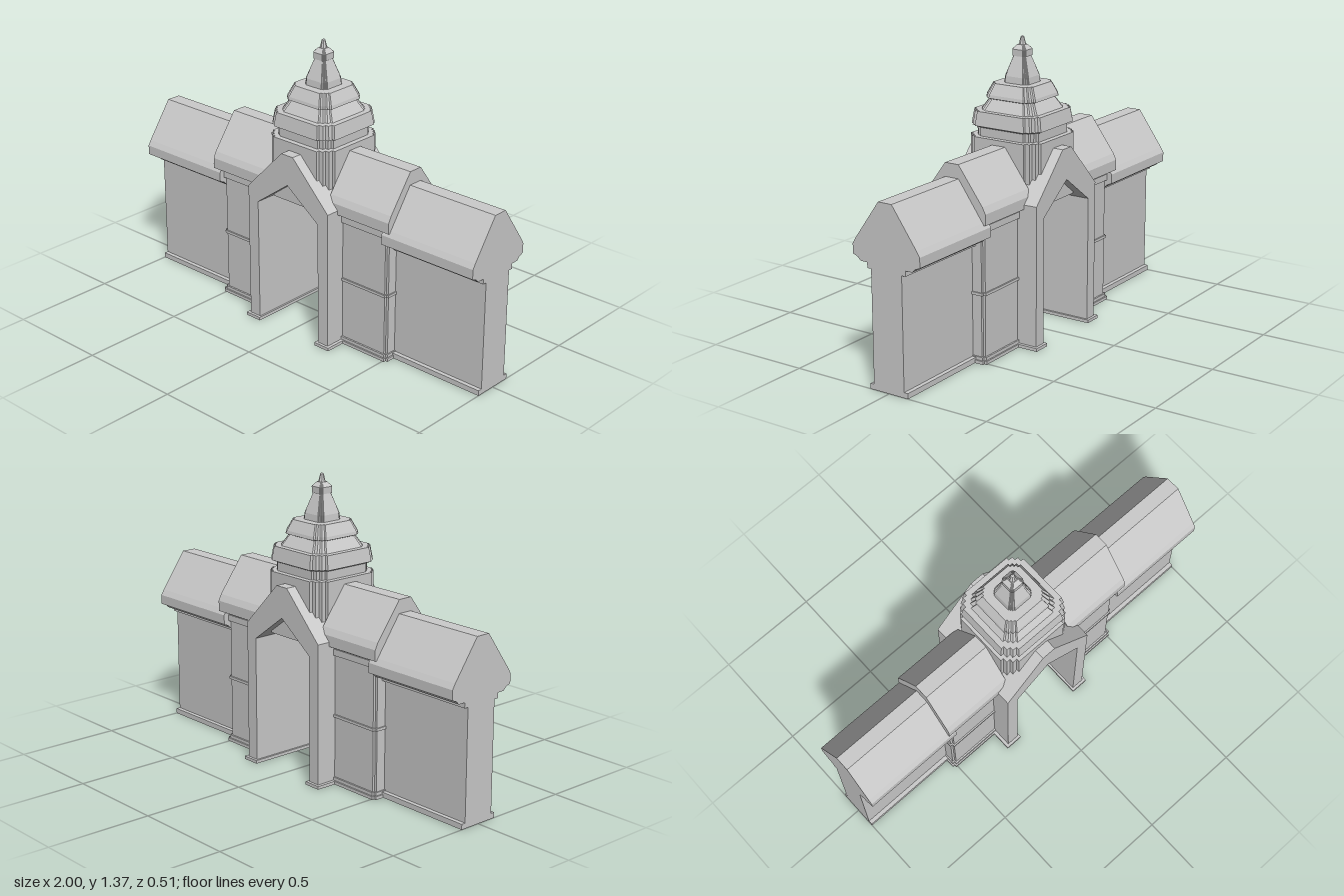
import * as THREE from 'three';

const material = new THREE.MeshStandardMaterial({ color: 0xcccccc, flatShading: true });

function add(parent, geometry, name) {
  const mesh = new THREE.Mesh(geometry, material);
  mesh.name = name;
  parent.add(mesh);
  return mesh;
}

// Box given by its limits in x and y, and by its half depth in z
function block(parent, name, x0, x1, y0, y1, halfZ) {
  const g = new THREE.BoxGeometry(x1 - x0, y1 - y0, halfZ * 2);
  add(parent, g.translate((x0 + x1) / 2, (y0 + y1) / 2, 0), name);
}

const toShape = (pts) => new THREE.Shape(pts.map(([x, y]) => new THREE.Vector2(x, y)));
// Mirror a half outline, listed from bottom right to top right, into a closed one
const mirrored = (half) => [...half, ...half.map(([x, y]) => [-x, y]).reverse()];

// Roof profile (z, y) run along x
function roof(parent, name, x0, x1, half) {
  const g = new THREE.ExtrudeGeometry(toShape(mirrored(half)), { depth: x1 - x0, bevelEnabled: false });
  add(parent, g.rotateY(Math.PI / 2).translate(x0, 0, 0), name);
}

// Wing layer with notched corners and a hollow square shaft
function hollowLayer(parent, name, x1, halfZ, y0, y1) {
  const x0 = 0.24, n = 0.012;
  const shape = toShape([
    [x0, -halfZ], [x1 - n, -halfZ], [x1 - n, -halfZ + n], [x1, -halfZ + n],
    [x1, halfZ - n], [x1 - n, halfZ - n], [x1 - n, halfZ], [x0, halfZ],
  ]);
  const c = 0.38, r = 0.045;
  shape.holes.push(new THREE.Path([[c - r, -r], [c - r, r], [c + r, r], [c + r, -r]]
    .map(([x, y]) => new THREE.Vector2(x, y))));
  const g = new THREE.ExtrudeGeometry(shape, { depth: y1 - y0, bevelEnabled: false });
  add(parent, g.rotateX(-Math.PI / 2).translate(0, y0, 0), name);
}

// Stepped square plan lofted through [height, half width] levels
function steppedTower(levels) {
  const quarter = [[1, -0.7], [1, 0.7], [0.92, 0.7], [0.92, 0.82], [0.82, 0.82], [0.82, 0.92], [0.7, 0.92]];
  const plan = [];
  for (let q = 0; q < 4; q++) {
    const c = Math.round(Math.cos(q * Math.PI / 2)), s = Math.round(Math.sin(q * Math.PI / 2));
    for (const [x, z] of quarter) plan.push([x * c - z * s, x * s + z * c]);
  }
  const n = plan.length, pos = [], index = [];
  for (const [y, w] of levels) for (const [x, z] of plan) pos.push(x * w, y, z * w);
  for (let i = 0; i < levels.length - 1; i++) {
    for (let j = 0; j < n; j++) {
      const a = i * n + j, b = i * n + (j + 1) % n;
      index.push(a, a + n, b, b, a + n, b + n);
    }
  }
  const g = new THREE.BufferGeometry();
  g.setAttribute('position', new THREE.Float32BufferAttribute(pos, 3));
  g.setIndex(index);
  const flat = g.toNonIndexed();
  flat.computeVertexNormals();
  return flat;
}

function buildWing() {
  const wing = new THREE.Group();
  // Inner bay
  hollowLayer(wing, 'innerPlinth', 0.52, 0.155, 0, 0.015);
  hollowLayer(wing, 'innerPlinthStep', 0.513, 0.148, 0.015, 0.03);
  hollowLayer(wing, 'innerWall', 0.507, 0.14, 0.03, 0.605);
  hollowLayer(wing, 'wallBand', 0.513, 0.147, 0.315, 0.328);
  hollowLayer(wing, 'innerCornice', 0.515, 0.15, 0.605, 0.635);
  roof(wing, 'innerRoof', 0.19, 0.54,
    [[0.14, 0.625], [0.15, 0.645], [0.175, 0.65], [0.175, 0.7], [0.16, 0.73], [0.035, 0.9]]);
  // Outer bay
  block(wing, 'outerPlinth', 0.5, 1, 0, 0.025, 0.1);
  block(wing, 'outerWall', 0.5, 1, 0.025, 0.54, 0.08);
  block(wing, 'outerCornice', 0.5, 1, 0.54, 0.568, 0.1);
  roof(wing, 'outerRoof', 0.5, 1,
    [[0.135, 0.565], [0.15, 0.58], [0.175, 0.59], [0.175, 0.635], [0.16, 0.66], [0.035, 0.837]]);
  // Porch foot
  block(wing, 'porchFoot', 0.175, 0.26, 0, 0.015, 0.253);
  return wing;
}

export function createModel() {
  const model = new THREE.Group();
  model.name = 'gateway';

  // Wings on both sides
  for (const side of [1, -1]) {
    const wing = buildWing();
    wing.name = side > 0 ? 'leftWing' : 'rightWing';
    if (side < 0) wing.rotation.y = Math.PI;
    model.add(wing);
  }

  // Gabled passage running from front to back
  const passage = toShape([
    [0.185, 0], [0.245, 0], [0.245, 0.67], [0.035, 0.885], [-0.035, 0.885], [-0.245, 0.67],
    [-0.245, 0], [-0.185, 0], [-0.185, 0.605], [0, 0.74], [0.185, 0.605],
  ]);
  const passageGeometry = new THREE.ExtrudeGeometry(passage, { depth: 0.48, bevelEnabled: false });
  add(model, passageGeometry.translate(0, 0, -0.24), 'passage');

  // Tiered tower, closed below as the passage ceiling
  add(model, steppedTower([
    [0.635, 0], [0.635, 0.19], [0.925, 0.19], [0.925, 0.165], [0.965, 0.165], [0.975, 0.187],
    [1.04, 0.177], [1.04, 0.15], [1.09, 0.12], [1.095, 0.133], [1.11, 0.13], [1.16, 0.107],
    [1.16, 0.066], [1.19, 0.063], [1.28, 0.032], [1.28, 0.037], [1.31, 0.037], [1.33, 0.018], [1.33, 0],
  ]), 'tower');

  // Finial
  const finial = [[0.018, 1.325], [0.014, 1.34], [0.008, 1.365], [0, 1.372]]
    .map(([r, y]) => new THREE.Vector2(r, y));
  add(model, new THREE.LatheGeometry(finial, 8), 'finial');

  return model;
}
